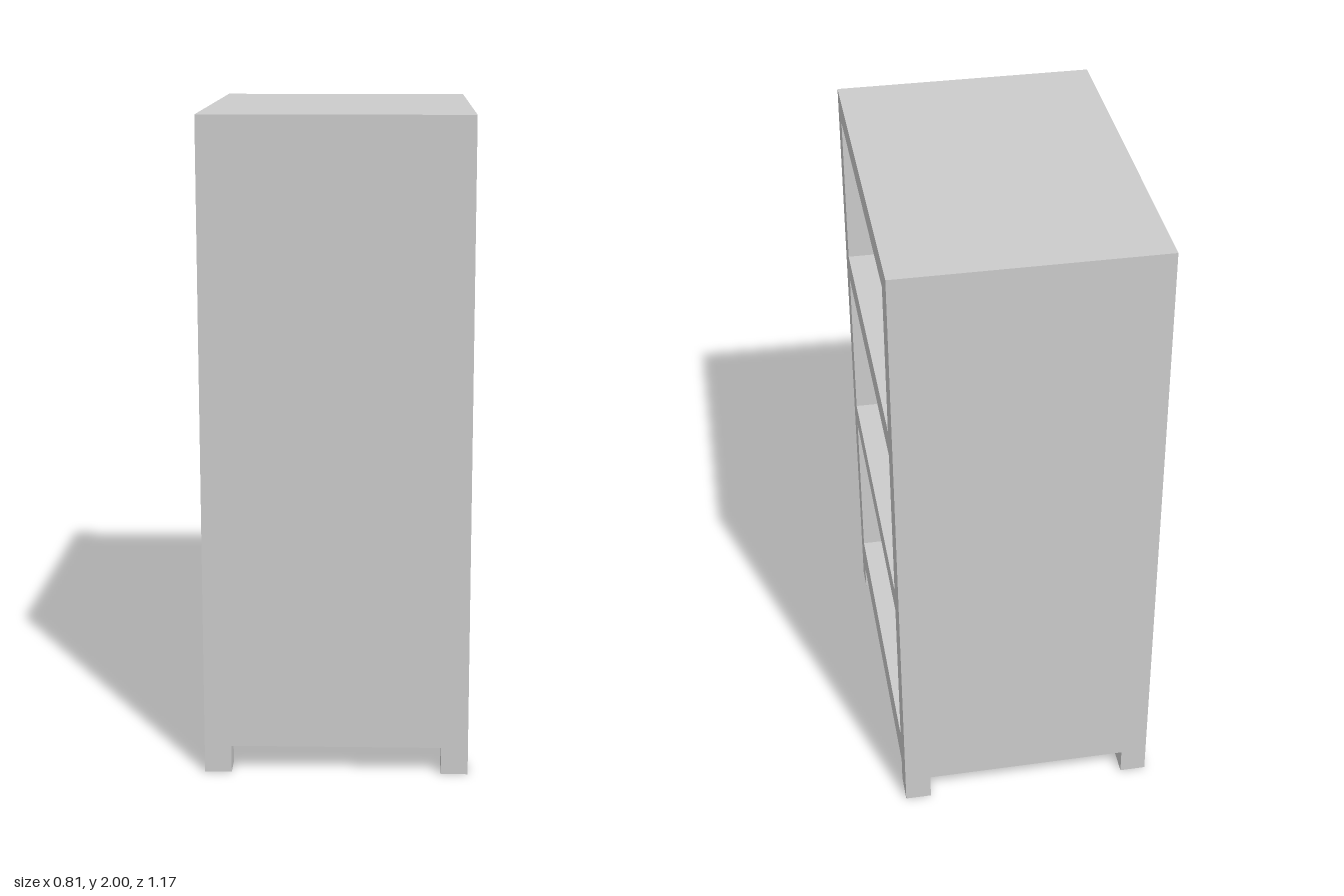
import * as THREE from 'three';

const HX = 0.403, HZ = 0.583;          // half width and half depth
const TOP = 2, BASE = 0.085;           // body height range
const BACK = 0.08;                     // thickness of the closed panel at -x
const OPEN_FRONT = 0.504, OPEN_REAR = -0.489; // z limits of the openings
const BAYS = [[0.206, 0.745], [0.827, 1.345], [1.432, 1.922]]; // y limits of each bay

// Closed rectangle path from corner to corner
function rect(path, x0, y0, x1, y1) {
  path.moveTo(x0, y0);
  path.lineTo(x1, y0);
  path.lineTo(x1, y1);
  path.lineTo(x0, y1);
  path.closePath();
  return path;
}

export function createModel() {
  const group = new THREE.Group();
  group.name = 'shelfCabinet';
  const material = new THREE.MeshStandardMaterial({ color: 0xcccccc });

  const add = (name, geometry, x = 0, y = 0, z = 0) => {
    const mesh = new THREE.Mesh(geometry, material);
    mesh.name = name;
    mesh.position.set(x, y, z);
    group.add(mesh);
  };

  // Carcass with shelves: side outline with three bays, extruded across the width
  const outline = rect(new THREE.Shape(), -HZ, BASE, HZ, TOP);
  for (const [y0, y1] of BAYS) {
    outline.holes.push(rect(new THREE.Path(), -OPEN_FRONT, y0, -OPEN_REAR, y1));
  }
  const carcass = new THREE.ExtrudeGeometry(outline, { depth: 2 * HX - BACK, bevelEnabled: false });
  carcass.rotateY(Math.PI / 2);
  add('carcass', carcass, -HX + BACK);

  // Panel closing the bays
  add('backPanel', new THREE.BoxGeometry(BACK, TOP - BASE, 2 * HZ), -HX + BACK / 2, (TOP + BASE) / 2);

  // Four corner feet
  const footX = 0.082;
  for (const sx of [-1, 1]) {
    for (const sz of [-1, 1]) {
      const footZ = HZ - (sz > 0 ? OPEN_FRONT : -OPEN_REAR);
      add(`${sz > 0 ? 'front' : 'back'}${sx > 0 ? 'Left' : 'Right'}Foot`,
        new THREE.BoxGeometry(footX, BASE, footZ),
        sx * (HX - footX / 2), BASE / 2, sz * (HZ - footZ / 2));
    }
  }
  return group;
}
